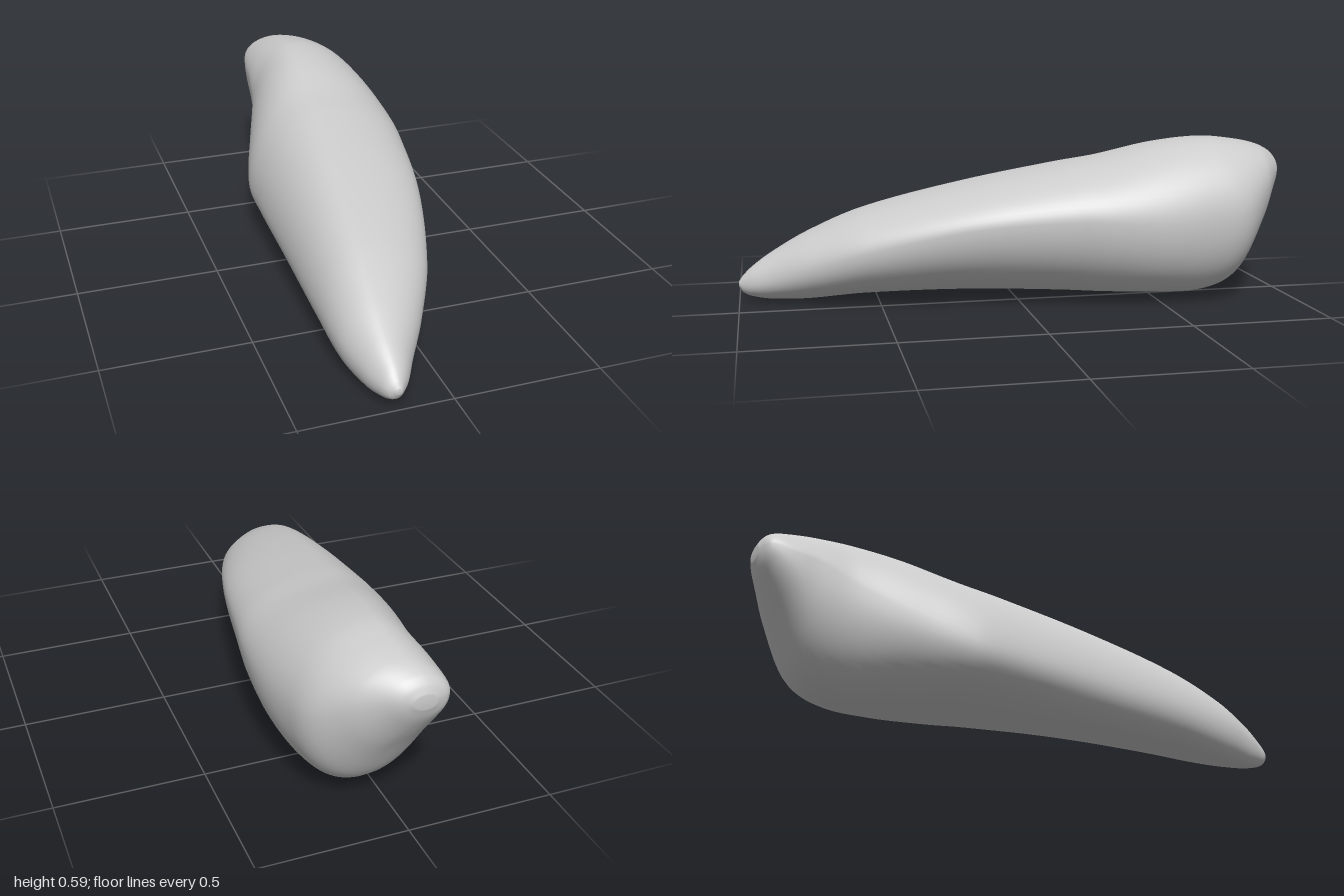
import * as THREE from 'three';
import { mergeVertices } from 'three/addons/utils/BufferGeometryUtils.js';

// Cross-sections from the front tip to the rear:
// z, left x, right x, bottom y, top y, x of top, x of bottom, y of left, y of right
const SECTIONS = [
  [1.0, -0.19, -0.17, 0.055, 0.075, -0.18, -0.18, 0.065, 0.065],
  [0.985, -0.213, -0.157, 0.032, 0.096, -0.18, -0.185, 0.063, 0.065],
  [0.95, -0.232, -0.13, 0.016, 0.13, -0.18, -0.19, 0.065, 0.07],
  [0.88, -0.26, -0.09, 0.003, 0.18, -0.18, -0.2, 0.08, 0.09],
  [0.75, -0.293, -0.01, 0.002, 0.255, -0.17, -0.2, 0.11, 0.14],
  [0.55, -0.303, 0.09, 0.02, 0.34, -0.15, -0.18, 0.14, 0.21],
  [0.2, -0.304, 0.2, 0.03, 0.43, -0.11, -0.13, 0.17, 0.295],
  [-0.15, -0.304, 0.27, 0.03, 0.5, -0.06, -0.03, 0.19, 0.325],
  [-0.3, -0.296, 0.293, 0.027, 0.525, -0.04, 0.02, 0.2, 0.32],
  [-0.5, -0.235, 0.302, 0.025, 0.57, -0.02, 0.07, 0.27, 0.31],
  [-0.68, -0.175, 0.285, 0.032, 0.59, 0, 0.08, 0.36, 0.32],
  [-0.8, -0.155, 0.255, 0.09, 0.58, 0, 0.07, 0.42, 0.34],
  [-0.9, -0.145, 0.17, 0.25, 0.56, -0.01, 0.04, 0.44, 0.41],
  [-0.96, -0.13, 0.085, 0.35, 0.535, -0.03, -0.01, 0.46, 0.45],
  [-0.985, -0.112, 0.045, 0.395, 0.512, -0.035, -0.03, 0.46, 0.46],
  [-1.0, -0.07, 0.005, 0.435, 0.483, -0.035, -0.035, 0.46, 0.46],
];
const SIDES = 64;
const STEPS = 6;

// Slope of one section value with respect to z
function slope(i, k) {
  const a = SECTIONS[Math.max(i - 1, 0)];
  const b = SECTIONS[Math.min(i + 1, SECTIONS.length - 1)];
  return (b[k] - a[k]) / (b[0] - a[0]);
}

// Smooth section between stations i and i + 1
function sectionAt(i, t) {
  const a = SECTIONS[i], b = SECTIONS[i + 1], h = b[0] - a[0];
  return a.map((v, k) => {
    if (k === 0) return v + h * t;
    const t2 = t * t, t3 = t2 * t;
    return (2 * t3 - 3 * t2 + 1) * v + (t3 - 2 * t2 + t) * h * slope(i, k)
      + (3 * t2 - 2 * t3) * b[k] + (t3 - t2) * h * slope(i + 1, k);
  });
}

// Lopsided oval of four quarters: flatter at upper left, fuller at lower left
function ovalPoint([z, xl, xr, yb, yt, xt, xb, yl, yr], angle) {
  const c = Math.cos(angle), s = Math.sin(angle);
  const cx = s >= 0 ? xt : xb;
  const cy = c >= 0 ? yr : yl;
  const power = c >= 0 ? 1 : s >= 0 ? 2 / 1.8 : 2 / 2.2;
  const u = Math.sign(c) * Math.abs(c) ** power;
  const v = Math.sign(s) * Math.abs(s) ** power;
  return [cx + (c >= 0 ? xr - cx : cx - xl) * u, cy + (s >= 0 ? yt - cy : cy - yb) * v, z];
}

function bodyGeometry() {
  const rings = [];
  for (let i = 0; i < SECTIONS.length - 1; i++) {
    for (let s = 0; s < STEPS; s++) rings.push(sectionAt(i, s / STEPS));
  }
  rings.push(SECTIONS[SECTIONS.length - 1]);

  // Collapsed rings close both ends
  const closed = ([z, xl, xr, yb, yt]) => {
    const x = (xl + xr) / 2, y = (yb + yt) / 2;
    return [z, x, x, y, y, x, x, y, y];
  };
  rings.unshift(closed(rings[0]));
  rings.push(closed(rings[rings.length - 1]));

  const positions = [], index = [];
  rings.forEach((ring, i) => {
    for (let j = 0; j < SIDES; j++) {
      positions.push(...ovalPoint(ring, (j / SIDES) * Math.PI * 2));
      if (i === rings.length - 1) continue;
      const a = i * SIDES + j, b = i * SIDES + ((j + 1) % SIDES);
      const c = a + SIDES, d = b + SIDES;
      index.push(a, c, b, b, c, d);
    }
  });
  const geometry = new THREE.BufferGeometry();
  geometry.setAttribute('position', new THREE.Float32BufferAttribute(positions, 3));
  geometry.setIndex(index);
  const merged = mergeVertices(geometry, 1e-5);
  merged.computeVertexNormals();
  return merged;
}

export function createModel() {
  const group = new THREE.Group();
  group.name = 'taperedForm';
  const grey = new THREE.MeshStandardMaterial({ color: 0xcccccc });
  grey.name = 'light grey';

  // Single smooth tapering body
  const body = new THREE.Mesh(bodyGeometry(), grey);
  body.name = 'body';
  group.add(body);
  return group;
}
